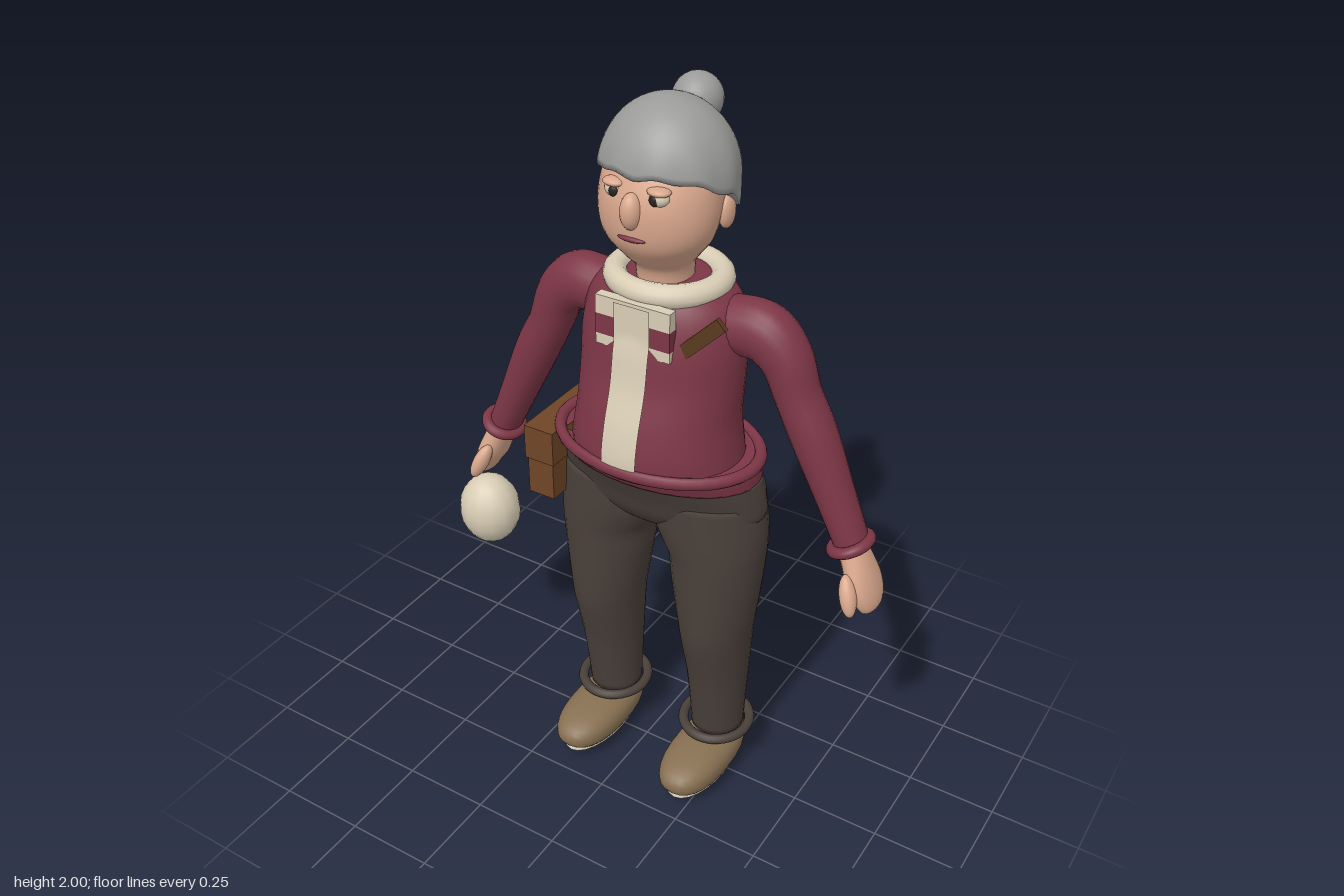
import * as THREE from 'three';

const mat = (name, color) => Object.assign(new THREE.MeshStandardMaterial({ color, side: THREE.DoubleSide }), { name });
const CX = 0.04; // body axis

// Skin a list of closed rings (each an array of Vector3), capping both ends
function skin(rings) {
  const n = rings[0].length, pos = [], idx = [];
  const mean = (r) => r.reduce((s, p) => s.add(p), new THREE.Vector3()).divideScalar(n);
  rings.forEach((r) => r.forEach((p) => pos.push(p.x, p.y, p.z)));
  const m = rings.length, lo = m * n;
  [mean(rings[0]), mean(rings[m - 1])].forEach((p) => pos.push(p.x, p.y, p.z));
  for (let i = 0; i < n; i++) {
    const j = (i + 1) % n;
    for (let r = 0; r < m - 1; r++) {
      const a = r * n + i, b = r * n + j;
      idx.push(a, a + n, b, b, a + n, b + n);
    }
    idx.push(lo, i, j, lo + 1, (m - 1) * n + j, (m - 1) * n + i);
  }
  const g = new THREE.BufferGeometry();
  g.setAttribute('position', new THREE.Float32BufferAttribute(pos, 3));
  g.setIndex(idx);
  g.computeVertexNormals();
  return g;
}

// Smooth interpolation through rows of numbers, t in 0..1
function sample(rows, t) {
  const f = t * (rows.length - 1), i = Math.min(Math.floor(f), rows.length - 2), u = f - i;
  const row = (k) => rows[THREE.MathUtils.clamp(k, 0, rows.length - 1)];
  return rows[0].map((_, c) => {
    const a = row(i - 1)[c], b = row(i)[c], d = row(i + 1)[c], e = row(i + 2)[c];
    return b + 0.5 * u * (d - a + u * (2 * a - 5 * b + 4 * d - e + u * (3 * (b - d) + e - a)));
  });
}

// Upright loft; rows are [y, xMin, xMax, zFront, zBack] relative to the axis
function loft(rows, steps = 5, n = 36) {
  const m = (rows.length - 1) * steps, rings = [];
  for (let k = 0; k <= m; k++) {
    const [y, x0, x1, zf, zb] = sample(rows, k / m);
    rings.push(Array.from({ length: n }, (_, i) => {
      const a = (i / n) * Math.PI * 2;
      return new THREE.Vector3(CX + (x0 + x1) / 2 + (x1 - x0) / 2 * Math.cos(a), y,
        (zf + zb) / 2 + (zf - zb) / 2 * Math.sin(a));
    }));
  }
  return skin(rings);
}
const even = (rows) => rows.map(([y, w, f, b]) => [y, -w, w, f, b]);

// Limb swept in the plane z = z0; rows are [x, y, radius in plane, radius along z]
function sweep(rows, s, z0, n = 20) {
  const m = (rows.length - 1) * 5, rings = [];
  for (let k = 0; k <= m; k++) {
    const t = k / m, [x, y, r, rz] = sample(rows, t);
    const p = sample(rows, Math.max(0, t - 0.01)), q = sample(rows, Math.min(1, t + 0.01));
    const T = new THREE.Vector2(s * (q[0] - p[0]), q[1] - p[1]).normalize();
    rings.push(Array.from({ length: n }, (_, i) => {
      const a = (i / n) * Math.PI * 2, c = r * Math.cos(a);
      return new THREE.Vector3(CX + s * x + T.y * c, y - T.x * c, z0 + rz * Math.sin(a));
    }));
  }
  return skin(rings);
}

export function createModel() {
  const model = new THREE.Group();
  const wool = mat('burgundy wool', 0x7d3646), cloth = mat('dark trousers', 0x4a403a);
  const cream = mat('cream', 0xd9cdb5), grey = mat('grey hair', 0x9b9b99);
  const flesh = mat('skin', 0xd9a78c), tan = mat('shoe brown', 0x877052);
  const leather = mat('leather', 0x6f4526), strapMat = mat('dark leather', 0x5a3a1f);
  const dark = mat('dark pupil', 0x2a221e);

  const add = (name, geo, m, x = 0, y = 0, z = 0) => {
    const o = new THREE.Mesh(geo, m);
    o.name = name;
    o.position.set(x, y, z);
    model.add(o);
    return o;
  };
  const ball = (name, m, x, y, z, rx, ry, rz, w = 24, h = 16) =>
    add(name, new THREE.SphereGeometry(1, w, h).scale(rx, ry, rz), m, x, y, z);
  const box = (name, m, x, y, z, w, h, d) => add(name, new THREE.BoxGeometry(w, h, d), m, x, y, z);
  // horizontal elliptical ring
  const ring = (name, m, x, y, z, rx, rz, tube) => {
    const g = new THREE.TorusGeometry(1, tube / rx, 12, 40).rotateX(Math.PI / 2);
    return add(name, g.scale(rx, rx, rz), m, x, y, z);
  };

  // Sweater
  const torso = even([[1.06, 0.24, 0.2, -0.185], [1.12, 0.23, 0.202, -0.183], [1.2, 0.22, 0.187, -0.18],
    [1.3, 0.222, 0.157, -0.178], [1.4, 0.222, 0.14, -0.178], [1.48, 0.205, 0.117, -0.177],
    [1.525, 0.165, 0.09, -0.165], [1.545, 0.1, 0.05, -0.12]]);
  add('sweater', loft(torso), wool);
  add('sweaterSkirt', loft(even([[1.028, 0.287, 0.17, -0.18], [1.06, 0.285, 0.185, -0.185], [1.085, 0.28, 0.19, -0.19]])), wool);
  ring('sweaterHem', wool, CX, 1.083, 0.005, 0.28, 0.197, 0.017);
  ring('collar', cream, CX, 1.533, -0.037, 0.135, 0.125, 0.032);

  // Front strip following the belly
  const strip = new THREE.PlaneGeometry(0.1, 1, 6, 30), sp = strip.attributes.position;
  for (let i = 0; i < sp.count; i++) {
    const [y, , w, f, b] = sample(torso, 0.08 + 0.74 * (sp.getY(i) + 0.5)), x = sp.getX(i);
    const z = (f + b) / 2 + (f - b) / 2 * Math.sqrt(1 - (x / w) ** 2);
    sp.setXYZ(i, CX + x, y, Math.max(z + 0.005, 0.137));
  }
  strip.computeVertexNormals();
  add('frontStrip', strip, cream);

  // Banded chest panel
  [[1.497, 0.05, cream], [1.445, 0.054, wool], [1.404, 0.028, cream]].forEach(([y, h, m]) =>
    box('chestBand', m, CX, y, 0.119, 0.21, h, 0.028));

  // Trousers
  add('trouserHips', loft(even([[0.825, 0.04, 0.02, -0.07], [0.86, 0.2, 0.08, -0.13], [0.91, 0.295, 0.118, -0.16],
    [0.97, 0.3, 0.14, -0.172], [1.032, 0.287, 0.168, -0.18]])), cloth);
  const leg = [[0.14, 0.1, 0.25, 0.035, -0.122], [0.25, 0.096, 0.255, 0.05, -0.13], [0.36, 0.09, 0.262, 0.068, -0.136],
    [0.5, 0.078, 0.273, 0.1, -0.14], [0.6, 0.062, 0.285, 0.107, -0.145], [0.7, 0.046, 0.296, 0.11, -0.15],
    [0.77, 0.036, 0.302, 0.112, -0.154], [0.82, 0.008, 0.305, 0.115, -0.158], [0.88, -0.02, 0.303, 0.118, -0.162],
    [0.97, -0.02, 0.29, 0.12, -0.16]];

  // Paired parts
  for (const s of [-1, 1]) {
    const side = s > 0 ? 'left' : 'right', X = (x) => CX + s * x;
    add(side + 'Leg', loft(leg.map(([y, a, b, f, k]) => (s > 0 ? [y, a, b, f, k] : [y, -b, -a, f, k])), 4, 28), cloth);
    ring(side + 'AnkleCuff', cloth, X(0.175), 0.15, -0.037, 0.095, 0.1, 0.014);

    // Shoe: blunted ellipsoid, lower at the toe
    const shoe = new THREE.SphereGeometry(1, 28, 20), p = shoe.attributes.position;
    const blunt = (v) => Math.sign(v) * Math.abs(v) ** 0.85;
    for (let i = 0; i < p.count; i++) {
      const z = blunt(p.getZ(i));
      p.setXYZ(i, blunt(p.getX(i)) * 0.088, Math.max(blunt(p.getY(i)) * (0.062 - 0.004 * z), -0.055), z * 0.182);
    }
    shoe.computeVertexNormals();
    add(side + 'Shoe', shoe, tan, X(0.177), 0.077, 0.042);
    ball(side + 'Sole', cream, X(0.177), 0.034, 0.042, 0.075, 0.034, 0.165);

    // Arm, cuff and hand
    add(side + 'Sleeve', sweep([[0.1, 1.43, 0.07, 0.07], [0.2, 1.445, 0.075, 0.072], [0.27, 1.442, 0.077, 0.07],
      [0.327, 1.39, 0.067, 0.066], [0.365, 1.3, 0.059, 0.062], [0.415, 1.2, 0.06, 0.062],
      [0.483, 1.05, 0.051, 0.055], [0.542, 0.92, 0.044, 0.05]], s, -0.042), wool);
    ring(side + 'Cuff', wool, X(0.54), 0.925, -0.036, 0.049, 0.053, 0.015).rotation.z = s * 0.42;
    add(side + 'Hand', sweep([[0.535, 0.935, 0.034, 0.04], [0.558, 0.885, 0.036, 0.054], [0.581, 0.83, 0.036, 0.07],
      [0.6, 0.79, 0.03, 0.066], [0.612, 0.757, 0.021, 0.046], [0.617, 0.744, 0.004, 0.01]], s, -0.038, 18), flesh);
    const thumb = ball(side + 'Thumb', flesh, X(0.575), 0.82, 0.038, 0.022, 0.056, 0.026, 16, 12);
    thumb.rotation.set(-0.35, 0, s * 0.35);

    // Face pairs
    ball(side + 'Eye', cream, X(0.06), 1.795, 0.108, 0.026, 0.021, 0.022, 16, 12);
    ball(side + 'Pupil', dark, X(0.055), 1.793, 0.122, 0.014, 0.015, 0.01, 14, 10);
    ball(side + 'UpperLid', flesh, X(0.06), 1.811, 0.11, 0.03, 0.011, 0.024, 16, 10);
    ball(side + 'Ear', flesh, X(0.148), 1.725, -0.05, 0.018, 0.042, 0.03, 16, 12);
  }

  // Head
  add('head', loft(even([[1.5, 0.07, 0.055, -0.1], [1.575, 0.072, 0.062, -0.1], [1.615, 0.098, 0.095, -0.102],
    [1.66, 0.133, 0.128, -0.108], [1.71, 0.15, 0.14, -0.12], [1.77, 0.153, 0.138, -0.14], [1.83, 0.145, 0.115, -0.15],
    [1.89, 0.115, 0.075, -0.13], [1.93, 0.06, 0.03, -0.09]])), flesh);
  ball('nose', flesh, CX, 1.758, 0.133, 0.027, 0.045, 0.03, 18, 14);
  ball('mouth', wool, CX, 1.69, 0.132, 0.038, 0.008, 0.012, 18, 10);

  // Hair cap with a hairline that drops toward the nape, and a bun
  const N = 64, rows = 18, hair = [];
  for (let k = -1; k <= rows; k++) {
    hair.push(Array.from({ length: N }, (_, i) => {
      const a = (i / N) * Math.PI * 2, s = Math.sin(a);
      const low = (s > 0 ? 1.775 + 0.058 * Math.min(1, s * 1.25) : 1.775 - 0.042 * Math.min(1, -s * 3))
        + 0.005 * Math.cos(10 * a);
      const e0 = Math.asin((low - 1.8) / 0.185), e = e0 + (Math.PI / 2 - e0) * Math.max(k, 0) / rows * 0.995;
      const r = (e > 0 ? Math.cos(e) : 1) * (k < 0 ? 0.82 : 1) * (1 + 0.012 * Math.cos(10 * a) * Math.cos(e) ** 6);
      return new THREE.Vector3(CX + 0.172 * r * Math.cos(a), 1.8 + 0.185 * Math.sin(e), -0.033 + 0.162 * r * s);
    }));
  }
  add('hair', skin(hair), grey);
  ball('hairBun', grey, CX, 1.937, -0.16, 0.063, 0.063, 0.063);

  // Satchel with flap and shoulder strap
  box('satchel', leather, -0.247, 0.975, 0.008, 0.08, 0.21, 0.265);
  box('satchelFlap', leather, -0.247, 1.03, 0.008, 0.09, 0.1, 0.275);
  box('satchelClasp', strapMat, -0.294, 0.975, 0.008, 0.006, 0.03, 0.04);
  box('strap', strapMat, 0.03, 1.28, 0.1, 0.67, 0.036, 0.014).rotation.z = Math.PI / 4;

  // Egg hanging below the right hand
  ball('egg', cream, -0.582, 0.592, -0.043, 0.093, 0.112, 0.088, 14, 10);
  return model;
}
